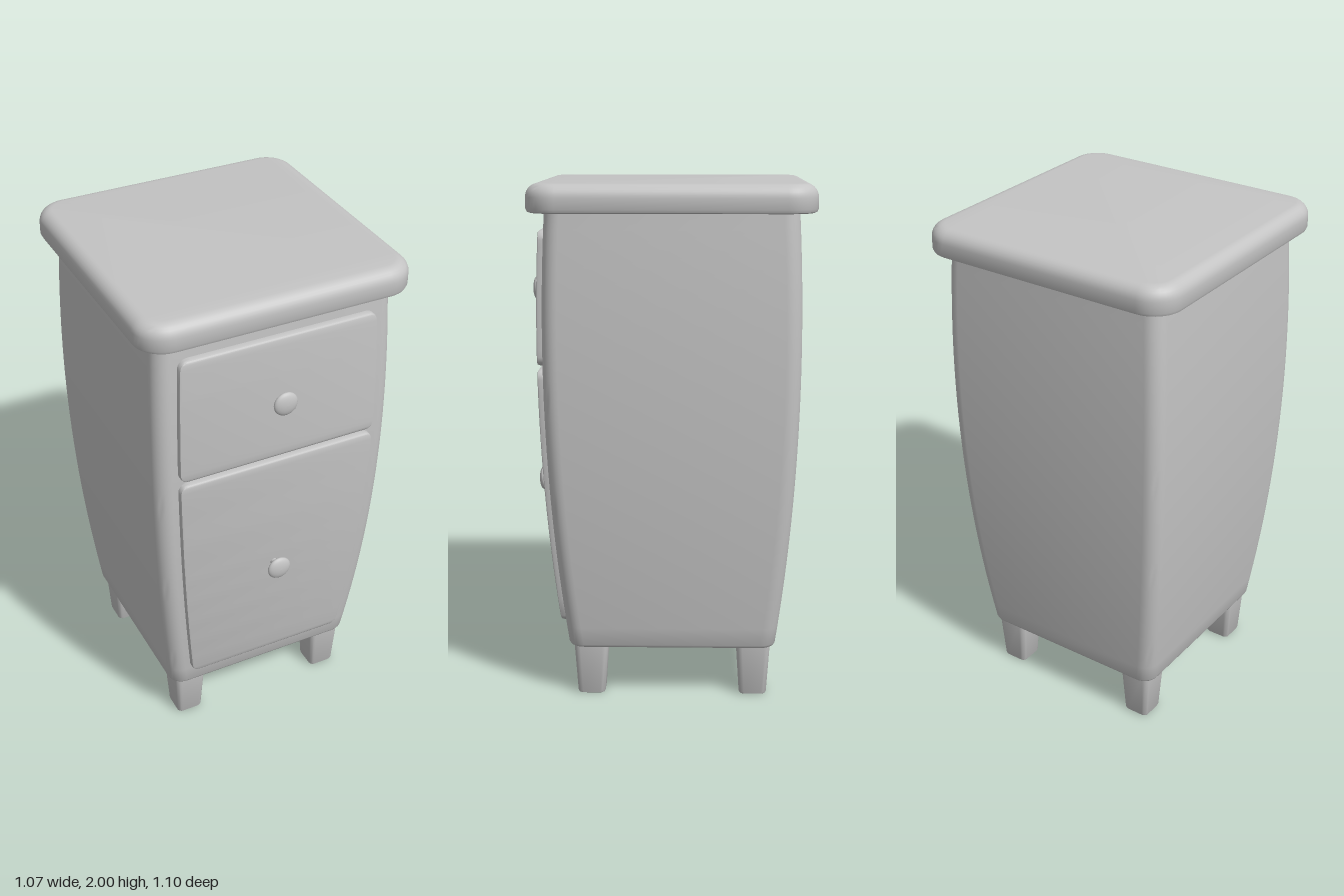
import * as THREE from 'three';
import { toCreasedNormals } from 'three/addons/utils/BufferGeometryUtils.js';

const CENTER_Z = -0.013;

// Half width of the bulging cabinet at a given height
const bodyHalf = (y) => 0.485 - 0.057 * (1.4 - y) ** 2;

// Rounded square cross-section at height y
function squareRing(half, radius, y, steps = 7) {
  const ring = [];
  const c = half - radius;
  [[1, 1], [-1, 1], [-1, -1], [1, -1]].forEach(([sx, sz], q) => {
    for (let i = 0; i <= steps; i++) {
      const a = (q + i / steps) * Math.PI / 2;
      ring.push([sx * c + radius * Math.cos(a), y, sz * c + radius * Math.sin(a)]);
    }
  });
  return ring;
}

// Skin between stacked rings (bottom to top), closed by a fan at each end
function loft(rings, crease = 0.6) {
  const n = rings[0].length;
  const pos = rings.flat(2);
  const index = [];
  for (let i = 0; i < rings.length - 1; i++) {
    for (let j = 0; j < n; j++) {
      const a = i * n + j, b = i * n + (j + 1) % n;
      index.push(a, a + n, b, b, a + n, b + n);
    }
  }
  const last = (rings.length - 1) * n;
  for (let j = 1; j < n - 1; j++) {
    index.push(0, j, j + 1);
    index.push(last, last + j + 1, last + j);
  }
  const geo = new THREE.BufferGeometry();
  geo.setAttribute('position', new THREE.Float32BufferAttribute(pos, 3));
  geo.setIndex(index);
  return toCreasedNormals(geo, crease);
}

// Curved drawer front with rounded corners and a softened edge
function drawerGeometry(y0, y1) {
  const r = 0.035, b = 0.008, depth = 0.024;
  const rows = [[0, 0], [0, depth - b], [0.003, depth - b * 0.4], [b, depth], [0.016, depth], [0.025, depth], [r, depth]];
  const h = y1 - y0;
  const levels = rows.map(([d, t]) => [y0 + d, t, d]);
  for (let i = 1; i < 16; i++) levels.push([y0 + r + (h - 2 * r) * i / 16, depth, r]);
  rows.slice().reverse().forEach(([d, t]) => levels.push([y1 - d, t, d]));
  return loft(levels.map(([y, t, d]) => {
    const w = bodyHalf(y) - 0.083 - (r - Math.sqrt(r * r - (r - d) ** 2));
    const z = bodyHalf(y);
    const side = Math.max(0, t - b), mid = Math.max(0, t - b * 0.3);
    const half = [[w, 0], [w, side], [w - b * 0.3, mid], [w - b, t]];
    const right = half.map(([x, dz]) => [x, y, z + dz]);
    const left = half.slice().reverse().map(([x, dz]) => [-x, y, z + dz]);
    return [...right, ...left];
  }));
}

// Mushroom knob on a thin stem, pointing along +z with its tip at z = 0
function knobGeometry() {
  const pts = [[0.015, -0.08], [0.013, -0.04], [0.016, -0.036]];
  for (let i = 0; i <= 12; i++) {
    const a = -1.1 + (Math.PI / 2 + 1.1) * i / 12;
    pts.push([Math.max(0, 0.048 * Math.cos(a)), -0.018 + 0.018 * Math.sin(a)]);
  }
  return new THREE.LatheGeometry(pts.map(([x, y]) => new THREE.Vector2(x, y)), 28).rotateX(Math.PI / 2);
}

export function createModel() {
  const model = new THREE.Group();
  const gray = new THREE.MeshStandardMaterial({ color: 0xc4c4c4 });
  gray.name = 'plain gray';
  const add = (name, geo, x = 0, y = 0, z = CENTER_Z) => {
    const mesh = new THREE.Mesh(geo, gray);
    mesh.name = name;
    mesh.position.set(x, y, z);
    model.add(mesh);
  };

  // Cabinet body with bowed sides and a softened lower edge
  const body = [squareRing(bodyHalf(0.2) - 0.01, 0.05, 0.202), squareRing(bodyHalf(0.2) - 0.003, 0.057, 0.206)];
  for (let i = 0; i <= 24; i++) {
    const y = 0.215 + (1.9 - 0.215) * i / 24;
    body.push(squareRing(bodyHalf(y), 0.06, y));
  }
  add('body', loft(body));

  // Top slab: small bevel below, generous roundover above
  const slab = [[0.016, 1.893], [0.005, 1.897], [0, 1.908], [0, 1.95]];
  for (let i = 1; i <= 7; i++) {
    const a = i / 7 * Math.PI / 2;
    slab.push([0.05 * (1 - Math.cos(a)), 1.95 + 0.05 * Math.sin(a)]);
  }
  add('topSlab', loft(slab.map(([inset, y]) => squareRing(0.537 - inset, 0.115 - inset, y, 10))));

  // Drawer fronts and knobs
  add('upperDrawer', drawerGeometry(1.315, 1.825));
  add('lowerDrawer', drawerGeometry(0.285, 1.3));
  add('upperKnob', knobGeometry(), 0, 1.57, 0.549);
  add('lowerKnob', knobGeometry(), 0, 0.79, 0.537);

  // Four tapered legs
  const leg = loft([
    squareRing(0.046, 0.014, 0, 4),
    squareRing(0.051, 0.018, 0.003, 4),
    squareRing(0.054, 0.02, 0.01, 4),
    squareRing(0.067, 0.024, 0.21, 4),
  ]);
  for (const [side, sx] of [['Left', 1], ['Right', -1]]) {
    for (const [end, sz] of [['front', 1], ['back', -1]]) {
      add(`${end}${side}Leg`, leg, sx * 0.316, 0, CENTER_Z + sz * 0.318);
    }
  }
  return model;
}
